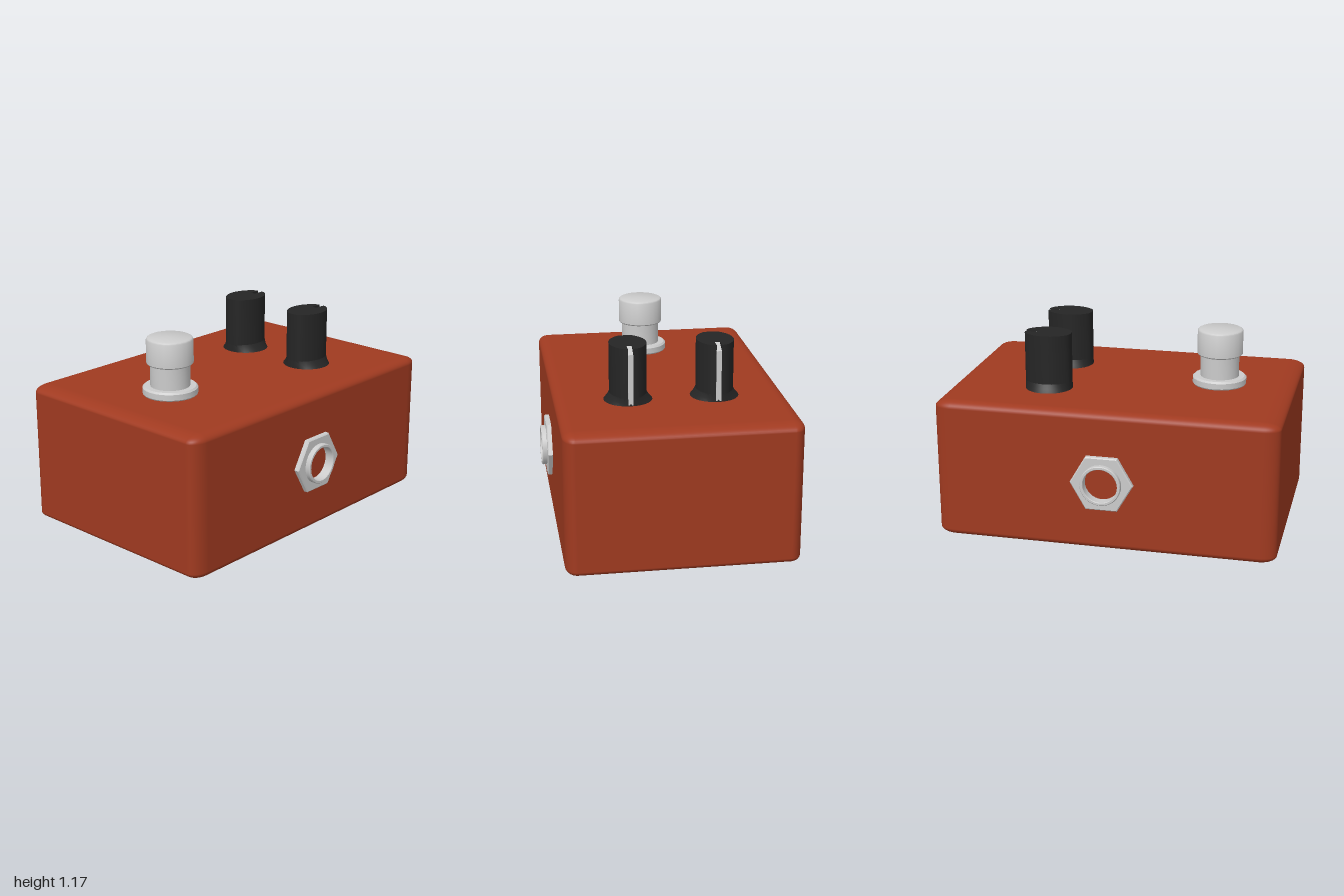
import * as THREE from 'three';
import { toCreasedNormals } from 'three/addons/utils/BufferGeometryUtils.js';
import { RoundedBoxGeometry } from 'three/addons/geometries/RoundedBoxGeometry.js';

const grey = new THREE.MeshStandardMaterial({ color: 0xcccccc });
const red = new THREE.MeshStandardMaterial({ color: 0xa03a20 });
const black = new THREE.MeshStandardMaterial({ color: 0x252525 });

const TOP = 0.835; // height of the housing lid

function part(name, geometry, material, crease = 0.6) {
  const mesh = new THREE.Mesh(crease ? toCreasedNormals(geometry, crease) : geometry, material);
  mesh.name = name;
  return mesh;
}

// Radius of the pinched knob outline: a circle trimmed by two shallow side arcs
function gripRadius(a) {
  const c = Math.abs(Math.cos(a)), s = Math.sin(a);
  return Math.min(0.1375, -0.06 * c + Math.sqrt(0.167 ** 2 - (0.06 * s) ** 2));
}

// Grip with a slot at the back for the pointer
function gripGeometry() {
  const pts = [], n = 36, gap = 0.109;
  for (let i = 0; i <= n; i++) {
    const a = Math.PI / 2 + gap + (i / n) * (2 * Math.PI - 2 * gap);
    pts.push(new THREE.Vector2(Math.cos(a), Math.sin(a)).multiplyScalar(gripRadius(a)));
  }
  pts.push(new THREE.Vector2(0.015, 0.07), new THREE.Vector2(-0.015, 0.07));
  return new THREE.ExtrudeGeometry(new THREE.Shape(pts), { depth: 0.335, bevelEnabled: false }).rotateX(-Math.PI / 2);
}

// Flare from a round foot into the grip outline
function skirtGeometry() {
  const rings = [[0, 0], [0.02, 0.55], [0.045, 1]], n = 36, pos = [], idx = [];
  rings.forEach(([y, t], k) => {
    for (let i = 0; i <= n; i++) {
      const a = (i / n) * Math.PI * 2;
      const r = THREE.MathUtils.lerp(0.14, gripRadius(a), t);
      pos.push(r * Math.cos(a), y, -r * Math.sin(a));
      if (k < rings.length - 1 && i < n) {
        const p = k * (n + 1) + i, q = p + n + 1;
        idx.push(p, p + 1, q, p + 1, q + 1, q);
      }
    }
  });
  const g = new THREE.BufferGeometry();
  g.setAttribute('position', new THREE.Float32BufferAttribute(pos, 3));
  g.setIndex(idx);
  return g;
}

function pointerGeometry() {
  const profile = [[0.066, 0.005], [0.139, 0.005], [0.139, 0.3], [0.07, 0.333], [0.066, 0.333]];
  const shape = new THREE.Shape(profile.map(p => new THREE.Vector2(...p)));
  return new THREE.ExtrudeGeometry(shape, { depth: 0.03, bevelEnabled: false })
    .rotateY(Math.PI / 2).translate(-0.015, 0, 0);
}

function makeKnob(name) {
  const knob = new THREE.Group();
  knob.name = name;
  knob.add(
    part('knobGrip', gripGeometry(), black),
    part('knobSkirt', skirtGeometry(), black),
    part('knobPointer', pointerGeometry(), grey),
  );
  return knob;
}

// Socket: hexagonal nut with a threaded collar, facing +z before it is turned
function makeSocket(name) {
  const socket = new THREE.Group();
  socket.name = name;
  const hex = new THREE.Shape();
  for (let i = 0; i < 6; i++) {
    const a = (i * Math.PI) / 3;
    hex[i ? 'lineTo' : 'moveTo'](0.177 * Math.cos(a), 0.177 * Math.sin(a));
  }
  hex.closePath();
  hex.holes.push(new THREE.Path().absarc(0, 0, 0.112, 0, Math.PI * 2, true));
  const nut = new THREE.ExtrudeGeometry(hex, {
    depth: 0.03, bevelThickness: 0.006, bevelSize: 0.006, bevelSegments: 1, curveSegments: 16,
  }).translate(0, 0, -0.006);
  const collar = [[0.1, -0.01], [0.119, -0.01], [0.119, 0.054], [0.115, 0.059], [0.103, 0.059], [0.1, 0.056], [0.1, -0.01]];
  const ring = new THREE.LatheGeometry(collar.map(p => new THREE.Vector2(...p)), 32).rotateX(Math.PI / 2);
  socket.add(part('socketNut', nut, grey, 0.4), part('socketCollar', ring, grey));
  return socket;
}

export function createModel() {
  const model = new THREE.Group();
  model.name = 'effectPedal';

  // Housing: softened block
  const box = new RoundedBoxGeometry(1, 1, 1, 5, 0.05).scale(1.33, TOP, 2).translate(0, TOP / 2, 0);
  model.add(part('housing', box, red, 0));

  // Control knobs
  for (const [name, x] of [['rightKnob', -0.255], ['leftKnob', 0.245]]) {
    const knob = makeKnob(name);
    knob.position.set(x, TOP, -0.418);
    model.add(knob);
  }

  // Foot switch: flange, neck and cap turned as one profile
  const profile = [
    [0.155, 0], [0.16, 0.007], [0.16, 0.04], [0.15, 0.05], [0.115, 0.05], [0.115, 0.18],
    [0.129, 0.18], [0.135, 0.187], [0.135, 0.322], [0.131, 0.33], [0.122, 0.335], [0, 0.335],
  ].map(p => new THREE.Vector2(...p));
  const footSwitch = part('footSwitch', new THREE.LatheGeometry(profile, 24), grey);
  footSwitch.position.set(0.04, TOP, 0.55);
  model.add(footSwitch);

  // Side sockets
  for (const [name, side] of [['leftSocket', 1], ['rightSocket', -1]]) {
    const socket = makeSocket(name);
    socket.position.set(side * 0.664, 0.42, 0);
    socket.rotation.y = (side * Math.PI) / 2;
    model.add(socket);
  }
  return model;
}
